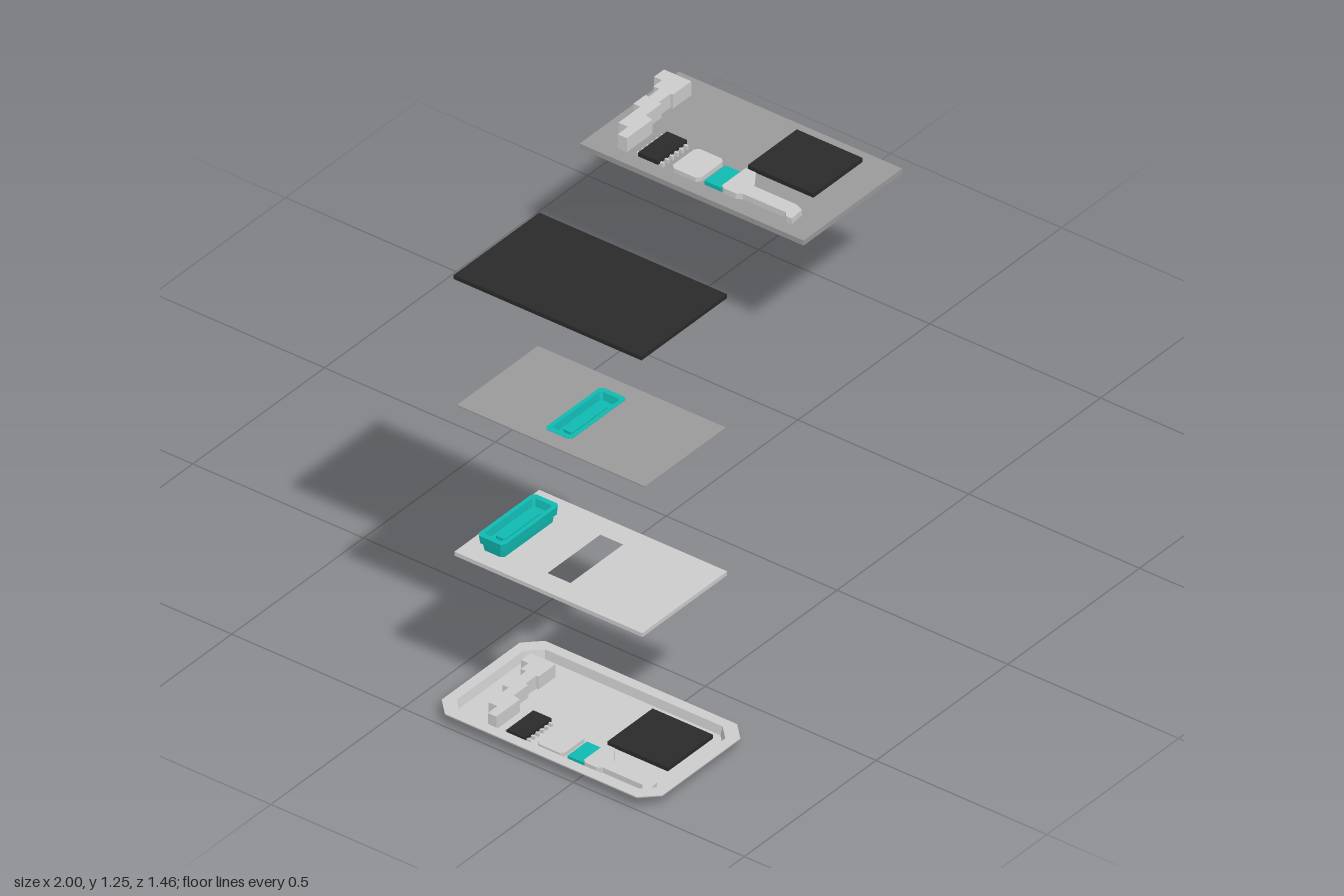
import * as THREE from 'three';

const mat = (color) => new THREE.MeshStandardMaterial({ color });
const GREY = mat(0xcccccc), MID = mat(0x999999), DARK = mat(0x2a2a2a), TEAL = mat(0x10b8b0);

function add(parent, name, geometry, material, x = 0, y = 0, z = 0) {
  const mesh = new THREE.Mesh(geometry, material);
  mesh.name = name;
  mesh.position.set(x, y, z);
  parent.add(mesh);
  return mesh;
}

// Box given by its limits
function block(parent, name, material, [x0, x1], [y0, y1], [z0, z1]) {
  return add(parent, name, new THREE.BoxGeometry(x1 - x0, y1 - y0, z1 - z0), material,
    (x0 + x1) / 2, (y0 + y1) / 2, (z0 + z1) / 2);
}

// Upright prism from an outline of [x, z] points, with an optional hole
function prism(points, y0, y1, hole) {
  const toV2 = ([x, z]) => new THREE.Vector2(x, -z);
  const shape = new THREE.Shape(points.map(toV2));
  if (hole) shape.holes.push(new THREE.Path(hole.map(toV2)));
  return new THREE.ExtrudeGeometry(shape, { depth: y1 - y0, bevelEnabled: false })
    .rotateX(-Math.PI / 2).translate(0, y0, 0);
}

// Rectangle with cut corners: half width, half depth, corner cut
const cutRect = (hx, hz, c) => [
  [hx, hz - c], [hx - c, hz], [c - hx, hz], [-hx, hz - c],
  [-hx, c - hz], [c - hx, -hz], [hx - c, -hz], [hx, c - hz]];

const rect = (x0, x1, z0, z1) => [[x0, z0], [x1, z0], [x1, z1], [x0, z1]];

// Skin over rings [hx, hz, cut, y], closed at the start and/or end
function loft(rings, { start = true, end = true, smooth = false } = {}) {
  const pos = [], idx = [], n = 8;
  for (const [hx, hz, c, y] of rings) for (const [x, z] of cutRect(hx, hz, c)) pos.push(x, y, z);
  for (let r = 0; r < rings.length - 1; r++) {
    for (let j = 0; j < n; j++) {
      const a = r * n + j, a2 = r * n + (j + 1) % n;
      idx.push(a, a + n, a2, a2, a + n, a2 + n);
    }
  }
  const cap = (r, up) => {
    const c = pos.length / 3;
    pos.push(0, rings[r][3], 0);
    for (let j = 0; j < n; j++) {
      const a = r * n + j, b = r * n + (j + 1) % n;
      idx.push(c, up ? b : a, up ? a : b);
    }
  };
  if (start) cap(0, false);
  if (end) cap(rings.length - 1, true);
  let g = new THREE.BufferGeometry();
  g.setAttribute('position', new THREE.Float32BufferAttribute(pos, 3));
  g.setIndex(idx);
  if (!smooth) g = g.toNonIndexed();
  g.computeVertexNormals();
  return g;
}

// Stepped module tray with a recess and an inner raised plate, top at y = 0
function tray(name, x, y, z) {
  const g = new THREE.Group();
  g.name = name;
  g.position.set(x, y, z);
  add(g, 'trayBody', loft([
    [0.098, 0.031, 0.008, -0.043], [0.102, 0.033, 0.008, -0.022],
    [0.105, 0.038, 0.008, -0.022], [0.108, 0.039, 0.008, 0],
    [0.094, 0.028, 0.006, 0], [0.09, 0.025, 0.006, -0.02]]), TEAL);
  add(g, 'trayInsert', loft([
    [0.07, 0.014, 0.004, -0.022], [0.07, 0.014, 0.004, -0.012]]), TEAL);
  return g;
}

// Circuit parts laid out around the board centre, board top at y = 0
function components() {
  const g = new THREE.Group();
  g.name = 'components';

  // stair-shaped connector at the back edge
  add(g, 'connector', prism([
    [-0.157, -0.213], [-0.157, -0.24], [-0.118, -0.24], [-0.118, -0.268], [-0.035, -0.268],
    [-0.035, -0.288], [0.01, -0.288], [0.01, -0.278], [0.05, -0.278], [0.05, -0.295],
    [0.082, -0.295], [0.082, -0.318], [0.12, -0.318], [0.12, -0.238], [0.05, -0.238],
    [0.05, -0.245], [0.005, -0.245], [0.005, -0.236], [-0.055, -0.236], [-0.06, -0.213]], 0.007, 0.046), GREY);

  // small chip with two rows of pins
  block(g, 'smallChip', DARK, [-0.157, -0.047], [0.009, 0.02], [-0.18, -0.122]);
  for (let i = 0; i < 6; i++) {
    for (const z of [-0.184, -0.118]) {
      const x = -0.147 + i * 0.018;
      block(g, 'pin', GREY, [x - 0.003, x + 0.003], [0.002, 0.013], [z - 0.006, z + 0.006]);
    }
  }

  // shield can, ribbon bridge and antenna arm
  add(g, 'shieldCan', prism(cutRect(0.05, 0.042, 0.01), 0.007, 0.019).translate(-0.107, 0, -0.044), GREY);
  block(g, 'bridge', TEAL, [-0.147, -0.067], [0.002, 0.013], [0.006, 0.058]);
  add(g, 'arm', prism([
    [-0.15, 0.06], [-0.06, 0.06], [-0.06, 0.09], [-0.107, 0.122], [-0.107, 0.245], [-0.117, 0.268],
    [-0.16, 0.272], [-0.16, 0.255], [-0.148, 0.245], [-0.148, 0.12], [-0.157, 0.105], [-0.157, 0.07]],
  0.008, 0.024), GREY);

  // main chip
  block(g, 'mainChip', DARK, [-0.043, 0.143], [0.008, 0.02], [0.053, 0.245]);
  return g;
}

export function createModel() {
  const model = new THREE.Group();
  model.name = 'explodedDevice';
  const cx = -0.81, cz = 0.405;

  // back case: sloped smooth shell and a recessed interior
  const backCase = new THREE.Group();
  backCase.name = 'backCase';
  backCase.position.set(cx, 0, cz);
  model.add(backCase);
  add(backCase, 'shell', loft([
    [0.152, 0.275, 0.03, 0], [0.19, 0.323, 0.042, 0.032], [0.19, 0.323, 0.042, 0.036]],
  { end: false, smooth: true }), GREY);
  add(backCase, 'recess', loft([
    [0.19, 0.323, 0.042, 0.036], [0.162, 0.295, 0.035, 0.036], [0.158, 0.29, 0.033, 0.012]],
  { start: false }), GREY);
  const inner = components();
  inner.scale.setScalar(0.92);
  inner.position.set(0, 0.009, 0.03);
  backCase.add(inner);

  // middle frame with a slot, and the tray floating over its back end
  add(model, 'middleFrame',
    prism(rect(-0.972, -0.65, 0.13, 0.68), 0.467, 0.478, rect(-0.91, -0.71, 0.355, 0.422)), GREY);
  model.add(tray('lowerTray', -0.827, 0.521, 0.205));

  // thin sheet with the tray set into it
  add(model, 'thinSheet',
    prism(rect(-0.962, -0.655, 0.13, 0.68), 0.88, 0.884, rect(-0.91, -0.706, 0.354, 0.422)), MID);
  model.add(tray('upperTray', -0.808, 0.885, 0.388));

  // screen panel
  block(model, 'screen', DARK, [-0.975, -0.65], [1.244, 1.255], [0.13, 0.68]);

  // separate circuit board
  const board = new THREE.Group();
  board.name = 'circuitBoard';
  board.position.set(0.8125, 0.402, -0.4075);
  model.add(board);
  block(board, 'boardPlate', MID, [-0.1875, 0.1875], [-0.014, 0], [-0.3275, 0.3275]);
  board.add(components());

  return model;
}
